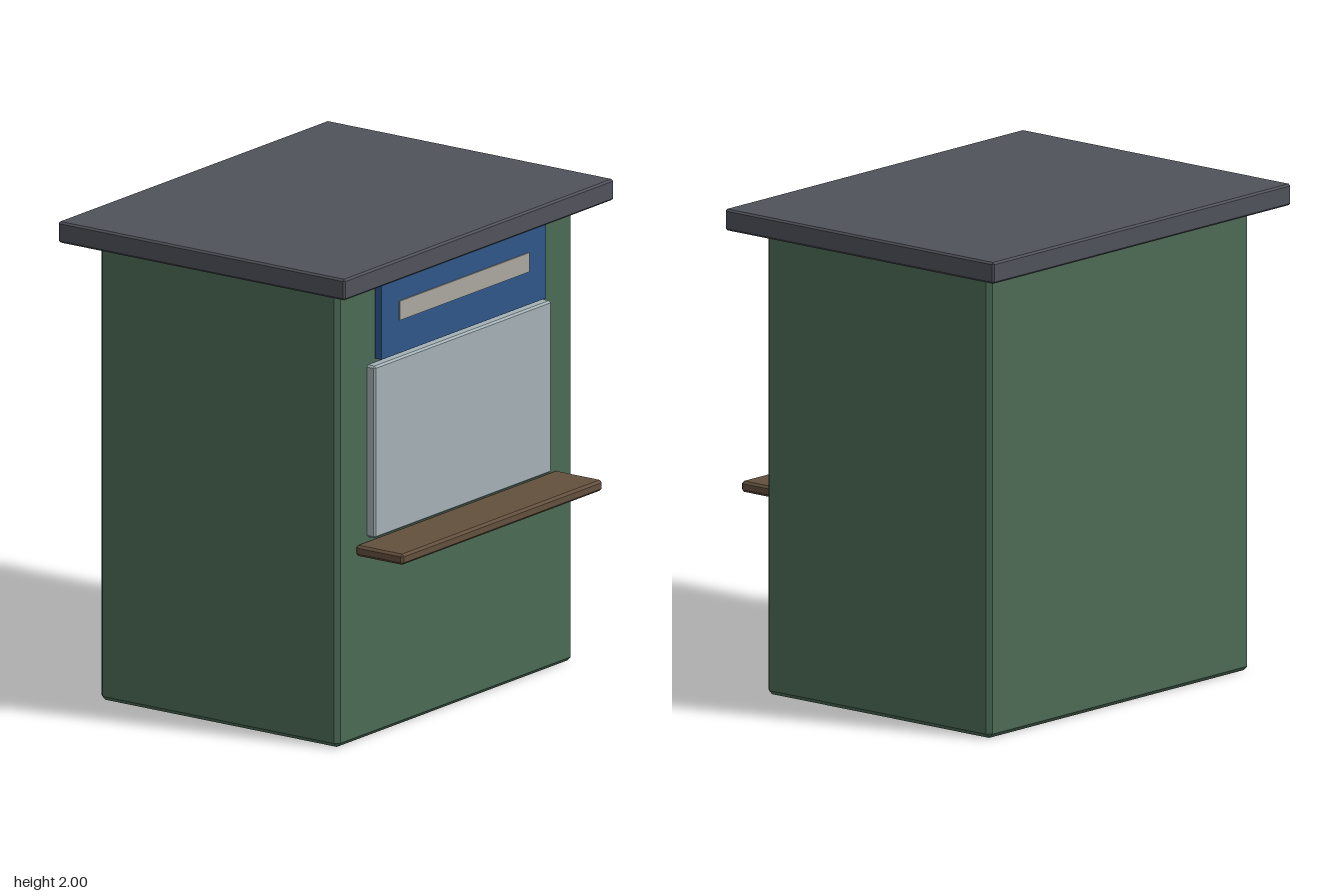
import * as THREE from 'three';
import { ConvexGeometry } from 'three/addons/geometries/ConvexGeometry.js';

// Box between two corners with every edge chamfered by b
function chamferBox(min, max, b) {
  const half = max.map((v, i) => (v - min[i]) / 2);
  const points = [];
  for (const sx of [-1, 1]) for (const sy of [-1, 1]) for (const sz of [-1, 1]) {
    for (let face = 0; face < 3; face++) {
      const p = [sx, sy, sz].map((s, i) => s * (half[i] - (i === face ? 0 : b)));
      points.push(new THREE.Vector3(...p));
    }
  }
  const geometry = new ConvexGeometry(points);
  geometry.translate(...min.map((v, i) => (v + max[i]) / 2));
  return geometry;
}

function plainBox(min, max) {
  const geometry = new THREE.BoxGeometry(...max.map((v, i) => v - min[i]));
  geometry.translate(...min.map((v, i) => (v + max[i]) / 2));
  return geometry;
}

export function createModel() {
  const model = new THREE.Group();
  model.name = 'kiosk';

  const add = (name, geometry, color) => {
    const mesh = new THREE.Mesh(geometry, new THREE.MeshStandardMaterial({ color, flatShading: true }));
    mesh.name = name;
    model.add(mesh);
  };

  // Cabin and overhanging roof slab
  add('cabin', chamferBox([-0.795, 0, -0.652], [0.795, 1.912, 0.536], 0.018), 0x4c6b55);
  add('roof', chamferBox([-0.91, 1.912, -0.772], [0.91, 2, 0.655], 0.008), 0x50525b);

  // Serving hatch with its counter
  add('hatchShutter', chamferBox([-0.597, 0.835, 0.525], [0.597, 1.552, 0.575], 0.008), 0xa4b1b6);
  add('counter', chamferBox([-0.677, 0.775, 0.535], [0.677, 0.82, 0.772], 0.01), 0x64503e);

  // Sign board tucked under the roof, with a pale strip
  add('signBoard', plainBox([-0.555, 1.572, 0.545], [0.555, 1.912, 0.578]), 0x30568a);
  add('signStrip', plainBox([-0.437, 1.71, 0.57], [0.437, 1.79, 0.583]), 0xaaa89f);

  return model;
}
